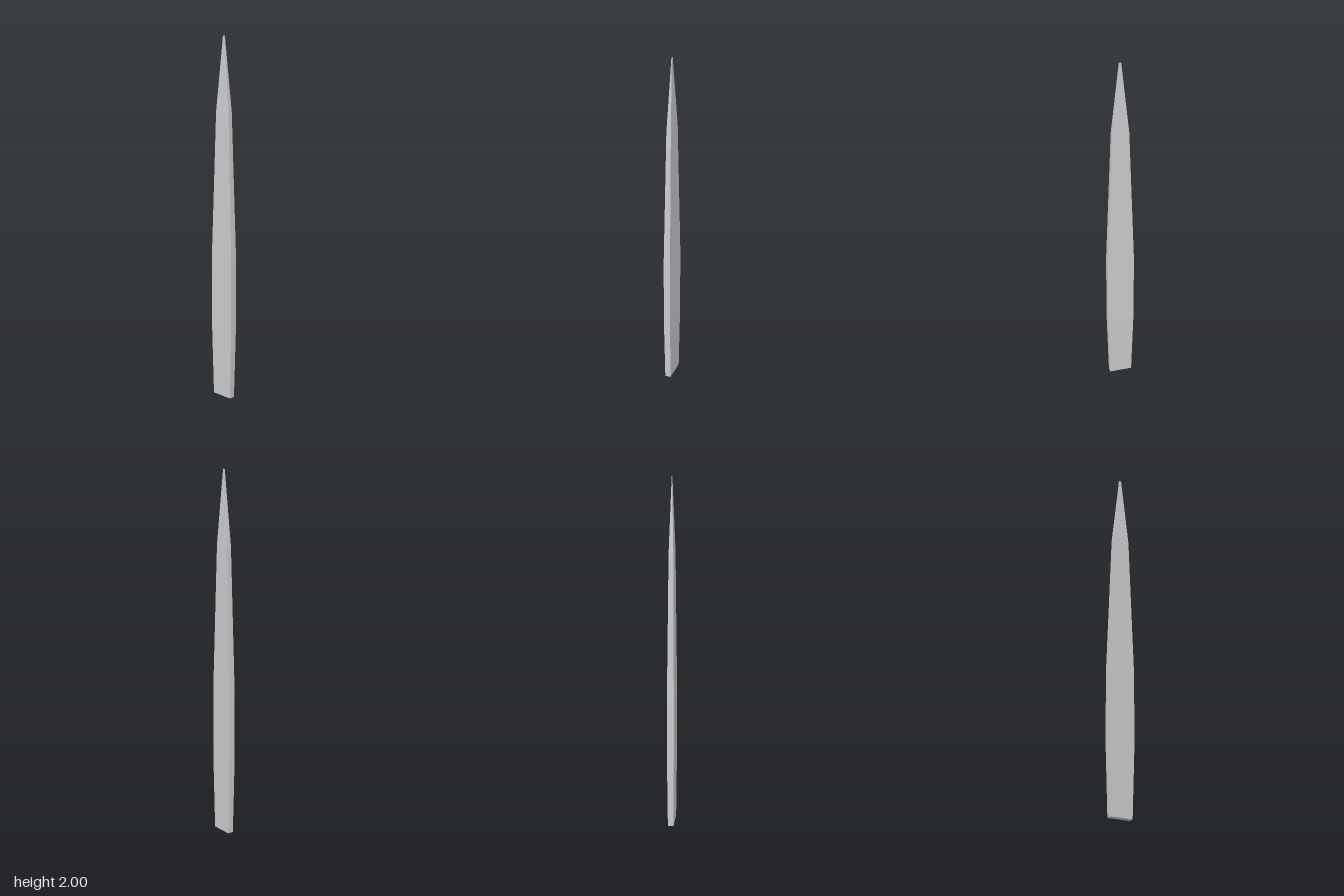
import * as THREE from 'three';

// Half width and half depth of the blade at equal steps up its height
const SECTIONS = [
  [0.063, 0.0160],
  [0.074, 0.0188],
  [0.074, 0.0188],
  [0.060, 0.0156],
  [0.046, 0.0125],
  [0.006, 0.0012],
];

export function createModel() {
  const group = new THREE.Group();
  group.name = 'blade';

  // Tapered rectangular bar: a unit box whose rings are scaled to the sections
  const steps = SECTIONS.length - 1;
  const geometry = new THREE.BoxGeometry(2, 2, 2, 1, steps, 1).translate(0, 1, 0);
  const pos = geometry.attributes.position;
  for (let i = 0; i < pos.count; i++) {
    const [w, d] = SECTIONS[Math.round((pos.getY(i) / 2) * steps)];
    pos.setX(i, pos.getX(i) * w);
    pos.setZ(i, pos.getZ(i) * d);
  }
  geometry.computeVertexNormals();

  const material = new THREE.MeshStandardMaterial({ color: 0xcccccc, flatShading: true });
  const body = new THREE.Mesh(geometry, material);
  body.name = 'bladeBody';
  group.add(body);
  return group;
}
